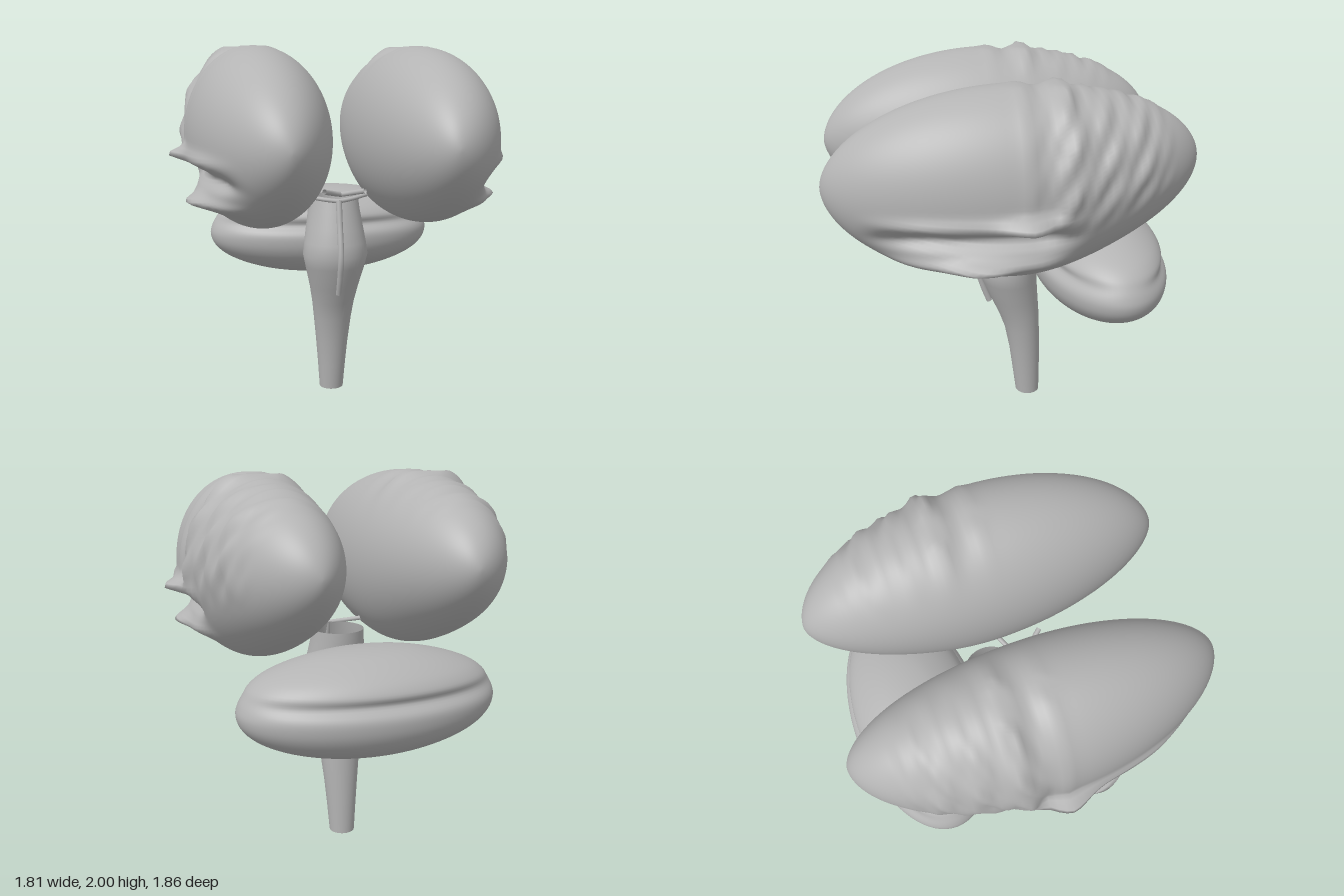
import * as THREE from 'three';
import { mergeVertices } from 'three/addons/utils/BufferGeometryUtils.js';

// Rewrites every vertex by a rule, then welds seams for smooth normals
function shape(geometry, rule, flip = false) {
  const p = geometry.attributes.position, v = new THREE.Vector3();
  for (let i = 0; i < p.count; i++) {
    v.fromBufferAttribute(p, i);
    rule(v, i);
    p.setXYZ(i, v.x, v.y, v.z);
  }
  geometry.deleteAttribute('normal');
  geometry.deleteAttribute('uv');
  if (flip) geometry.index.array.reverse();
  const welded = mergeVertices(geometry, 1e-5);
  welded.computeVertexNormals();
  return welded;
}

const bell = (x, centre, width) => Math.exp(-(((x - centre) / width) ** 2));
const smooth = THREE.MathUtils.smoothstep;

// One half of the cerebrum: a long egg with a side fissure and wrinkled rear
function hemisphereGeometry(side) {
  const g = new THREE.SphereGeometry(1, 128, 88).rotateX(Math.PI / 2);
  return shape(g, (v) => {
    const s = Math.hypot(v.x, v.y), k = Math.pow(Math.max(s, 1e-6), 0.12);
    const nx = v.x / Math.max(s, 1e-6), ny = v.y / Math.max(s, 1e-6);
    const z = v.z * 0.93;
    let x = 0.38 + 0.06 * s + 0.375 * v.x * k;
    const midY = 1.525 + 0.07 * smooth(-z, 0, 0.93);
    let y = midY + (z < 0 ? 0.475 - 0.035 * smooth(-z, 0, 0.6) : 0.475) * v.y * k;
    // side fissure between two sharp ridges
    if (nx > 0) {
      const span = smooth(z, -0.3, -0.05) * (1 - smooth(z, 0.45, 0.8)) * smooth(nx, 0.2, 0.6);
      x += span * (bell(y, 1.44, 0.035) * (0.03 + 0.07 * bell(z, 0, 0.12))
        - bell(y, 1.35, 0.045) * 0.08
        + bell(y, 1.215, 0.04) * (0.05 + 0.07 * bell(z, 0.22, 0.15)));
    }
    // cross ridge and rear wrinkles
    const outer = smooth(nx, -0.9, 0.1) * smooth(ny, -0.5, 0.1);
    const rear = smooth(-z, 0.0, 0.15) * (1 - smooth(-z, 0.6, 0.75));
    const wrinkle = Math.sin(z * 34 + y * 9) * Math.sin(y * 21 - z * 8) + 0.6 * Math.sin(z * 61 + y * 33);
    const d = outer * (0.025 * bell(z, -0.2, 0.04) - 0.015 * bell(z, -0.09, 0.05)
      + 0.008 * bell(z, 0, 0.03) + rear * (0.008 + 0.01 * wrinkle));
    x += nx * d;
    y = Math.min(y + ny * d, 2);
    v.set(side * x, y, z);
  }, side < 0);
}

// Cerebellum: a wide lens with a groove that fades towards its ends
function cerebellumGeometry() {
  const profile = [[0, 0.64], [0.25, 0.645], [0.5, 0.67], [0.72, 0.715], [0.88, 0.77], [0.97, 0.83],
    [1, 0.89], [0.985, 0.94], [0.95, 0.985], [0.9, 1.03], [0.8, 1.075], [0.62, 1.12], [0.4, 1.155], [0.2, 1.17], [0, 1.175]];
  const curve = new THREE.SplineCurve(profile.map(([r, y]) => new THREE.Vector2(r, y)));
  const points = curve.getPoints(56).map((p) => new THREE.Vector2(Math.max(p.x, 0), p.y));
  points[0].x = points[points.length - 1].x = 0;
  return shape(new THREE.LatheGeometry(points, 80), (v) => {
    const r = Math.hypot(v.x, v.z) || 1;
    const groove = 1 - 0.09 * bell(v.y, 0.975, 0.03) * (v.z / r) ** 2;
    v.set(v.x * 0.68 * groove, v.y, -0.545 + v.z * 0.365 * groove);
  });
}

// Brainstem: open tapering tube given by [y, front z, back z, half width]
function stemGeometry() {
  const rows = [[1.17, 0.045, -0.24, 0.14], [1.1, 0.065, -0.235, 0.147], [1.0, 0.095, -0.225, 0.163],
    [0.92, 0.115, -0.215, 0.176], [0.85, 0.125, -0.21, 0.185], [0.78, 0.105, -0.21, 0.17], [0.65, 0.05, -0.22, 0.14],
    [0.55, 0.005, -0.228, 0.122], [0.45, -0.03, -0.233, 0.11], [0.3, -0.06, -0.238, 0.094], [0.15, -0.08, -0.24, 0.081], [0, -0.1, -0.24, 0.07]];
  const sides = 40;
  return shape(new THREE.CylinderGeometry(1, 1, 1, sides, rows.length - 1, true), (v, i) => {
    const [y, front, back, half] = rows[Math.floor(i / (sides + 1))];
    v.set(v.x * half, y, (front + back) / 2 + v.z * (front - back) / 2);
  });
}

function tube(points, radius) {
  const path = new THREE.CatmullRomCurve3(points.map((p) => new THREE.Vector3(...p)));
  return new THREE.TubeGeometry(path, 24, radius, 10, false);
}

export function createModel() {
  const model = new THREE.Group();
  model.name = 'brain';
  const grey = new THREE.MeshStandardMaterial({ color: 0xb4b4b4, side: THREE.DoubleSide });
  grey.name = 'grey';
  const add = (name, geometry) => {
    const mesh = new THREE.Mesh(geometry, grey);
    mesh.name = name;
    model.add(mesh);
  };

  add('leftHemisphere', hemisphereGeometry(1));
  add('rightHemisphere', hemisphereGeometry(-1));
  add('cerebellum', cerebellumGeometry());
  add('brainstem', stemGeometry());

  // artery along the front of the stem, with its two upper branches
  add('frontArtery', tube([[0, 1.17, 0.06], [0, 1.05, 0.085], [0, 0.85, 0.125], [0, 0.74, 0.1], [0, 0.635, 0.062]], 0.017));
  for (const side of [1, -1]) {
    const label = side > 0 ? 'left' : 'right';
    add(label + 'ArteryBranch', tube([[0, 1.165, 0.06], [side * 0.08, 1.175, 0.04], [side * 0.17, 1.19, 0.0]], 0.012));
    // crossing nerves ahead of the stem
    add(label + 'OpticNerve', tube([[0, 1.212, 0.11], [side * 0.05, 1.225, 0.15], [side * 0.11, 1.245, 0.22]], 0.014));
  }
  return model;
}
